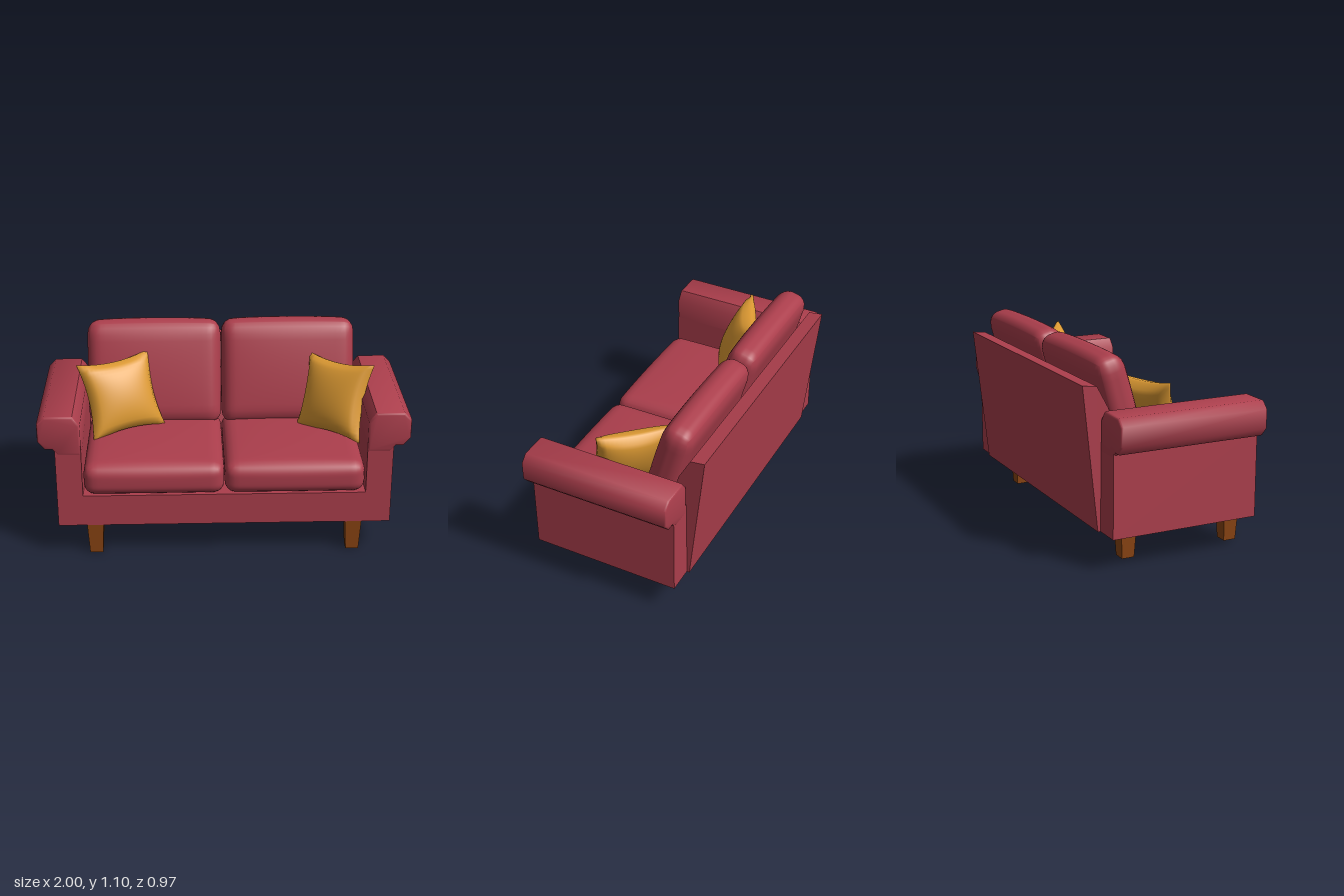
import * as THREE from 'three';
import { mergeVertices, toCreasedNormals } from 'three/addons/utils/BufferGeometryUtils.js';

const fabric = new THREE.MeshStandardMaterial({ color: 0xab3e4c });
fabric.name = 'red fabric';
const gold = new THREE.MeshStandardMaterial({ color: 0xdd9a33 });
gold.name = 'gold fabric';
const wood = new THREE.MeshStandardMaterial({ color: 0x8b4513 });
wood.name = 'brown wood';

function part(name, geometry, material, parent) {
  const mesh = new THREE.Mesh(geometry, material);
  mesh.name = name;
  parent.add(mesh);
  return mesh;
}

// Moves every vertex by a rule, then welds the seams for smooth normals.
function reshape(geometry, rule) {
  const pos = geometry.attributes.position;
  const p = new THREE.Vector3();
  for (let i = 0; i < pos.count; i++) {
    rule(p.fromBufferAttribute(pos, i));
    pos.setXYZ(i, p.x, p.y, p.z);
  }
  geometry.deleteAttribute('normal');
  geometry.deleteAttribute('uv');
  const welded = mergeVertices(geometry, 1e-4);
  welded.computeVertexNormals();
  return welded;
}

// Rounded block whose top and front swell outward.
function cushionGeometry(w, h, d, r, topSwell, frontSwell) {
  const half = new THREE.Vector3(w / 2, h / 2, d / 2);
  const limit = half.clone().subScalar(r);
  const low = limit.clone().negate();
  const inner = new THREE.Vector3();
  const dome = (a, b) => Math.max(0, 1 - a * a) * Math.max(0, 1 - b * b);
  return reshape(new THREE.BoxGeometry(w, h, d, 28, 16, 28), (p) => {
    inner.copy(p).clamp(low, limit);
    p.sub(inner).setLength(r).add(inner);
    const x = p.x / half.x, y = p.y / half.y, z = p.z / half.z;
    p.y += topSwell * Math.sqrt(dome(x, z)) * Math.max(0, y);
    p.z += frontSwell * Math.sqrt(dome(x, y)) * Math.max(0, z);
  });
}

// Square pillow with pinched sides and pointed corners.
function pillowGeometry(size, thickness) {
  return reshape(new THREE.BoxGeometry(2, 2, 2, 18, 18, 1), (p) => {
    const { x, y, z } = p;
    const dome = Math.max(0, (1 - x * x) * (1 - y * y));
    p.x = x * (1 - 0.13 * (1 - y * y)) * size / 2;
    p.y = y * (1 - 0.13 * (1 - x * x)) * size / 2;
    p.z = z * (0.008 + Math.pow(dome, 0.45) * thickness / 2);
  });
}

function shapeFrom(points) {
  return new THREE.Shape(points.map(([x, y]) => new THREE.Vector2(x, y)));
}

export function createModel() {
  const sofa = new THREE.Group();
  sofa.name = 'sofa';

  // U-shaped frame: base with both arm panels
  const side = [[0.91, 0.18], [0.91, 0.66], [0.77, 0.66], [0.77, 0.36]];
  const outline = [...side, ...side.map(([x, y]) => [-x, y]).reverse()];
  const frame = new THREE.ExtrudeGeometry(shapeFrom(outline), { depth: 0.84, bevelEnabled: false });
  frame.translate(0, 0, -0.385);
  part('frame', frame, fabric, sofa);

  // Rolled arm tops
  const bevel = 0.012;
  const roll = [[0.782, 0.62], [0.89, 0.62], [0.915, 0.652], [0.955, 0.652], [0.988, 0.69],
    [0.988, 0.785], [0.955, 0.818], [0.815, 0.818], [0.782, 0.775]];
  for (const s of [1, -1]) {
    const points = roll.map(([x, y]) => [s * x, y]);
    const geometry = new THREE.ExtrudeGeometry(shapeFrom(points), {
      depth: 0.845 - 2 * bevel, bevelThickness: bevel, bevelSize: bevel, bevelSegments: 2,
    });
    geometry.translate(0, 0, -0.387 + bevel);
    part(s > 0 ? 'leftArmRoll' : 'rightArmRoll', toCreasedNormals(geometry, 0.9), fabric, sofa);
  }

  // Slanted back panel, profile given as [z, y]
  const profile = [[-0.4, 0.18], [-0.485, 0.96], [-0.405, 0.95], [-0.34, 0.83], [-0.2, 0.37], [-0.2, 0.18]];
  const panel = new THREE.ExtrudeGeometry(shapeFrom(profile.map(([z, y]) => [-z, y])),
    { depth: 1.53, bevelEnabled: false });
  panel.rotateY(Math.PI / 2).translate(-0.765, 0, 0);
  part('backPanel', panel, fabric, sofa);

  // Seat and back cushions
  const seat = cushionGeometry(0.764, 0.175, 0.72, 0.06, 0.025, 0.015);
  const back = cushionGeometry(0.764, 0.59, 0.165, 0.068, 0.018, 0.03);
  for (const s of [1, -1]) {
    const label = s > 0 ? 'left' : 'right';
    part(label + 'SeatCushion', seat, fabric, sofa).position.set(s * 0.383, 0.447, 0.108);
    const rest = part(label + 'BackCushion', back, fabric, sofa);
    rest.position.set(s * 0.383, 0.793, -0.252);
    rest.rotation.x = -0.267;
  }

  // Throw pillows, leaning along their own width and height directions
  const pillow = pillowGeometry(0.44, 0.15);
  const pillows = [
    ['rightPillow', [-0.57, 0.74, -0.04], [0.4, 0.02, -0.19], [-0.13, 0.39, -0.12]],
    ['leftPillow', [0.63, 0.74, 0.02], [0.31, 0.03, 0.28], [0.09, 0.39, -0.12]],
  ];
  for (const [name, centre, across, up] of pillows) {
    const u = new THREE.Vector3(...across).normalize();
    const n = u.clone().cross(new THREE.Vector3(...up)).normalize();
    const v = n.clone().cross(u);
    const mesh = part(name, pillow, gold, sofa);
    mesh.quaternion.setFromRotationMatrix(new THREE.Matrix4().makeBasis(u, v, n));
    mesh.position.set(...centre);
  }

  // Tapered square legs
  const leg = new THREE.CylinderGeometry(0.064, 0.05, 0.18, 4).rotateY(Math.PI / 4).toNonIndexed();
  leg.computeVertexNormals();
  for (const x of [0.71, -0.71]) {
    for (const z of [0.405, -0.215]) {
      const name = (z > 0 ? 'front' : 'back') + (x > 0 ? 'Left' : 'Right') + 'Leg';
      part(name, leg, wood, sofa).position.set(x, 0.09, z);
    }
  }
  return sofa;
}
